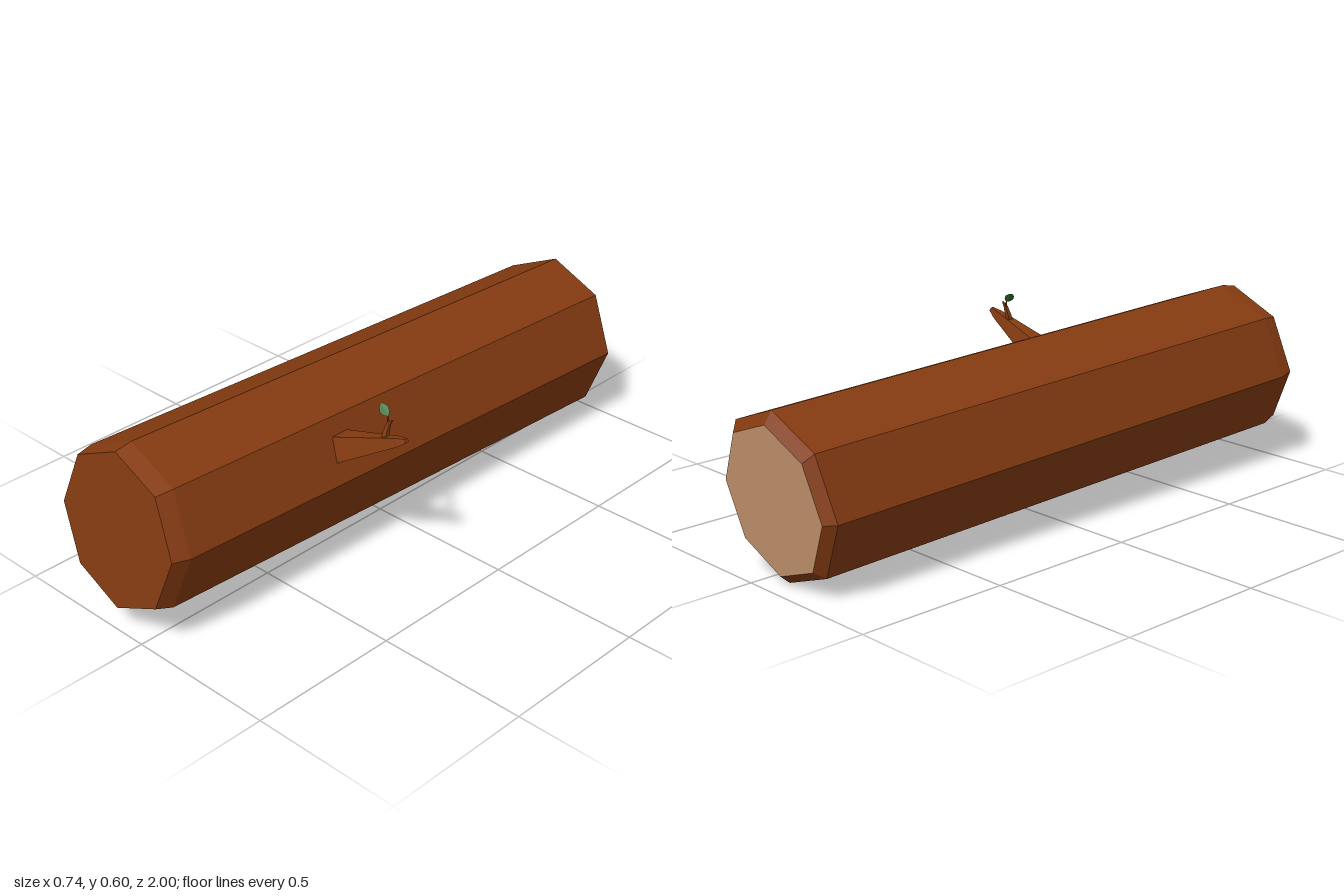
import * as THREE from 'three';

const bark = new THREE.MeshStandardMaterial({ color: 0x853b11, flatShading: true });
const cutWood = new THREE.MeshStandardMaterial({ color: 0xc4946e, flatShading: true });
const green = new THREE.MeshStandardMaterial({ color: 0x2d6a28, flatShading: true, side: THREE.DoubleSide });

function mesh(name, points, material) {
  const geometry = new THREE.BufferGeometry();
  geometry.setAttribute('position', new THREE.Float32BufferAttribute(points.flat(), 3));
  geometry.computeVertexNormals();
  const m = new THREE.Mesh(geometry, material);
  m.name = name;
  return m;
}

// Triangle fan over a convex ring
function fan(ring) {
  const out = [];
  for (let i = 1; i < ring.length - 1; i++) out.push(ring[0], ring[i], ring[i + 1]);
  return out;
}

// Faceted skin through successive rings
function skin(rings) {
  const out = [];
  for (let r = 0; r < rings.length - 1; r++) {
    const p = rings[r], q = rings[r + 1], n = p.length;
    for (let i = 0; i < n; i++) {
      const j = (i + 1) % n;
      out.push(p[i], p[j], q[j], p[i], q[j], q[i]);
    }
  }
  return out;
}

// Octagonal ring of the log, with its slightly slanted cut
function logRing(x, y, z, radius) {
  return Array.from({ length: 8 }, (_, i) => {
    const a = i * Math.PI / 4 + 0.035;
    const dx = radius * Math.cos(a), dy = radius * Math.sin(a);
    return [x + dx, y + dy, z - 0.103 * dy + 0.03 * dx];
  });
}

// Four-sided branch ring: centre, half height, half widths above and below, heading
function branchRing([x, y, z, h, top, bottom, angle]) {
  const ux = -Math.sin(angle) * h, uy = Math.cos(angle) * h;
  return [
    [x + ux, y + uy, z + top], [x - ux, y - uy, z + bottom],
    [x - ux, y - uy, z - bottom], [x + ux, y + uy, z - top],
  ];
}

function branch(name, sections) {
  const rings = sections.map(branchRing);
  return mesh(name, [...skin(rings), ...fan(rings.at(-1)), ...fan([...rings[0]].reverse())], bark);
}

export function createModel() {
  const group = new THREE.Group();

  // Log with bevelled ends
  const rings = [
    logRing(-0.085, 0.261, -0.976, 0.231),
    logRing(-0.085, 0.266, -0.947, 0.264),
    logRing(-0.107, 0.326, 0.918, 0.264),
    logRing(-0.109, 0.331, 0.974, 0.249),
  ];
  group.add(mesh('log', [...skin(rings), ...fan(rings[3])], bark));
  group.add(mesh('cutEnd', fan([...rings[0]].reverse()), cutWood));

  // Tapered side branch
  group.add(branch('branch', [
    [0.105, 0.405, 0.284, 0.041, 0.033, 0.046, 0.46],
    [0.1225, 0.413, 0.284, 0.039, 0.031, 0.044, 0.46],
    [0.338, 0.512, 0.277, 0.013, 0.01, 0.014, 0.46],
    [0.3675, 0.5255, 0.276, 0.006, 0.005, 0.007, 0.46],
  ]));

  // Small twig that forks below the leaf
  group.add(branch('twig', [
    [0.284, 0.495, 0.278, 0.0095, 0.009, 0.009, 1.5],
    [0.285, 0.52, 0.274, 0.0075, 0.007, 0.007, 1.45],
    [0.289, 0.546, 0.268, 0.005, 0.005, 0.005, 1.1],
    [0.302, 0.563, 0.266, 0.0015, 0.002, 0.002, 0.9],
  ]));
  group.add(branch('leafStem', [
    [0.2885, 0.546, 0.268, 0.003, 0.003, 0.003, 1.8],
    [0.281, 0.567, 0.263, 0.0015, 0.0015, 0.0015, 2.1],
  ]));

  // Leaf: two halves folded along the midrib
  const along = [[0, 0], [0.2, 0.7], [0.5, 1], [0.8, 0.65], [1, 0]];
  const spine = t => [0.282 - 0.034 * t, 0.566 + 0.033 * t, 0.262 - 0.003 * t];
  const leaf = [];
  for (const side of [-1, 1]) {
    const edge = ([t, w]) => {
      const [x, y, z] = spine(t);
      return [x + side * w * 0.0065 + w * 0.001, y + side * w * 0.0065 + w * 0.001, z - side * w * 0.012 + w * 0.002];
    };
    for (let i = 0; i < along.length - 1; i++) {
      const a = spine(along[i][0]), b = spine(along[i + 1][0]);
      const c = edge(along[i + 1]), d = edge(along[i]);
      leaf.push(...(side > 0 ? [a, c, b, a, d, c] : [a, b, c, a, c, d]));
    }
  }
  group.add(mesh('leaf', leaf, green));

  return group;
}
